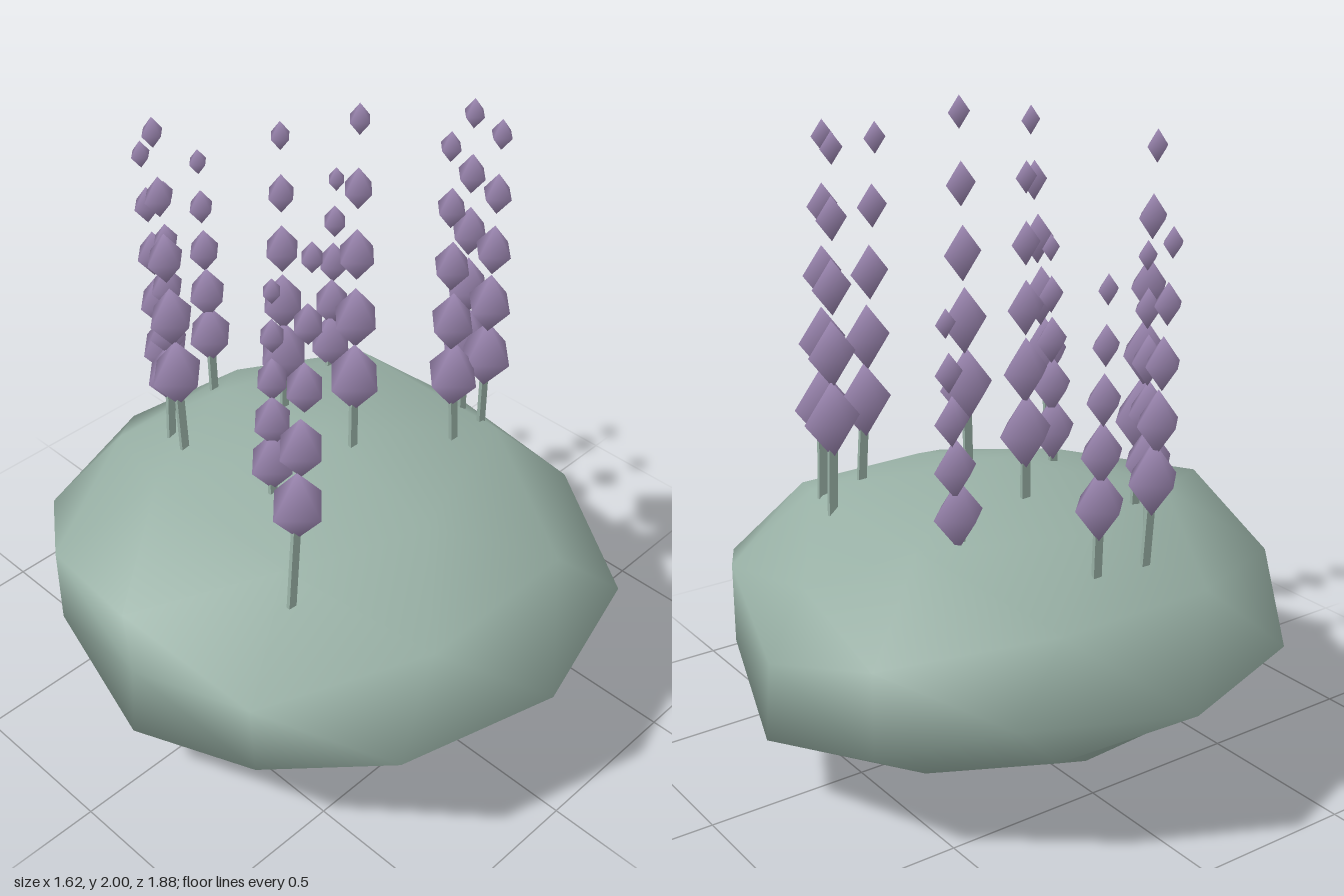
import * as THREE from 'three';
import { mergeVertices } from 'three/addons/utils/BufferGeometryUtils.js';

const leafGreen = new THREE.MeshStandardMaterial({ color: 0x98b0a5 });
leafGreen.name = 'leafGreen';
const blossomPurple = new THREE.MeshStandardMaterial({ color: 0x9b86b0 });
blossomPurple.name = 'blossomPurple';

// Shared vertices give smooth normals
function weld(geometry) {
  geometry.deleteAttribute('uv');
  geometry.deleteAttribute('normal');
  return mergeVertices(geometry, 1e-4);
}

// Uneven bush: direction and radius factor of the bumps and dents
const BUMPS = [
  [1, 0, 0, 0.84], [-1, 0, 0, 0.84], [0, 1, 0, 1], [0, -1, 0, 1], [0, 0, 1, 1], [0, 0, -1, 1],
  [0.85, 0.53, 0, 0.84], [0.85, -0.53, 0, 1.01], [-0.85, 0.53, 0, 1.01], [-0.85, -0.53, 0, 1.01],
  [0, 0.85, 0.53, 0.88], [0, -0.85, 0.53, 0.85],
  [0.53, 0, 0.85, 1], [-0.53, 0, 0.85, 1], [0.53, 0, -0.85, 0.91], [-0.53, 0, -0.85, 0.97],
  [0.5, 0.81, 0.31, 1], [0.5, 0.81, -0.31, 1], [-0.5, 0.81, 0.31, 0.88],
  [0.81, 0.31, 0.5, 0.9], [0.81, -0.31, 0.5, 0.9], [-0.81, 0.31, 0.5, 0.97],
  [0.31, 0.5, -0.81, 0.89], [-0.31, 0.5, -0.81, 0.89],
  [0.31, -0.5, -0.81, 0.86], [-0.31, -0.5, -0.81, 0.86],
  [0.31, -0.5, 0.81, 0.9], [-0.31, -0.5, 0.81, 0.9],
];

function makeBush() {
  const geometry = weld(new THREE.IcosahedronGeometry(1, 1).rotateZ(Math.PI / 2));
  const pos = geometry.attributes.position;
  const v = new THREE.Vector3();
  for (let i = 0; i < pos.count; i++) {
    v.fromBufferAttribute(pos, i);
    const bump = BUMPS.find(([x, y, z]) => Math.hypot(v.x - x, v.y - y, v.z - z) < 0.1);
    v.multiplyScalar(bump ? bump[3] : 0.94);
    pos.setXYZ(i, v.x * 0.945, 0.456 + v.y * 0.456, v.z * 0.94);
  }
  geometry.computeVertexNormals();
  const bush = new THREE.Mesh(geometry, leafGreen);
  bush.name = 'bush';
  return bush;
}

// Flower spikes: lowest blossom centre, then highest blossom centre
const SPIKES = [
  [[-0.44, 1.09, 0.34], [-0.375, 1.855, 0.335]],
  [[0.45, 1.1, 0.25], [0.395, 1.885, 0.295]],
  [[0.31, 1.09, 0.24], [0.26, 1.875, 0.23]],
  [[0.48, 1.09, 0.14], [0.45, 1.875, 0.15]],
  [[0.05, 1.13, 0.08], [0.09, 1.955, 0.05]],
  [[0.05, 1.07, -0.22], [0.06, 1.81, -0.23]],
  [[0.35, 0.915, -0.315], [0.41, 1.48, -0.35]],
  [[-0.27, 1.09, -0.35], [-0.27, 1.885, -0.39]],
  [[-0.24, 0.95, 0.03], [-0.215, 1.53, 0.015]],
  [[-0.12, 1.0, -0.585], [-0.135, 1.675, -0.62]],
  [[0.06, 0.96, -0.575], [0.07, 1.575, -0.605]],
  [[-0.21, 1.0, -0.46], [-0.165, 1.61, -0.485]],
];

function makeSpike([low, high], blossomGeometry) {
  const spike = new THREE.Group();
  spike.name = 'flowerSpike';
  const start = new THREE.Vector3(...low);
  const end = new THREE.Vector3(...high);
  const rise = end.clone().sub(start);
  const size = 0.6 + 0.4 * rise.y / 0.77;

  // Flat stem leaning along the spike
  const length = 0.36 * rise.y / 0.77;
  const stem = new THREE.Mesh(new THREE.BoxGeometry(0.028, length, 0.012), leafGreen);
  stem.name = 'stem';
  rise.normalize();
  stem.quaternion.setFromUnitVectors(new THREE.Vector3(0, 1, 0), rise);
  stem.position.copy(start).addScaledVector(rise, -length / 2);
  spike.add(stem);

  // Five shrinking blossoms
  for (let i = 0; i < 5; i++) {
    const blossom = new THREE.Mesh(blossomGeometry, blossomPurple);
    blossom.name = 'blossom';
    blossom.position.lerpVectors(start, end, i / 4);
    blossom.scale.setScalar(size * (1 - 0.15 * i));
    spike.add(blossom);
  }
  return spike;
}

export function createModel() {
  const model = new THREE.Group();
  model.name = 'floweringBush';
  model.add(makeBush());
  const blossomGeometry = weld(new THREE.OctahedronGeometry(1).scale(0.092, 0.117, 0.092));
  blossomGeometry.computeVertexNormals();
  for (const spike of SPIKES) model.add(makeSpike(spike, blossomGeometry));
  return model;
}
